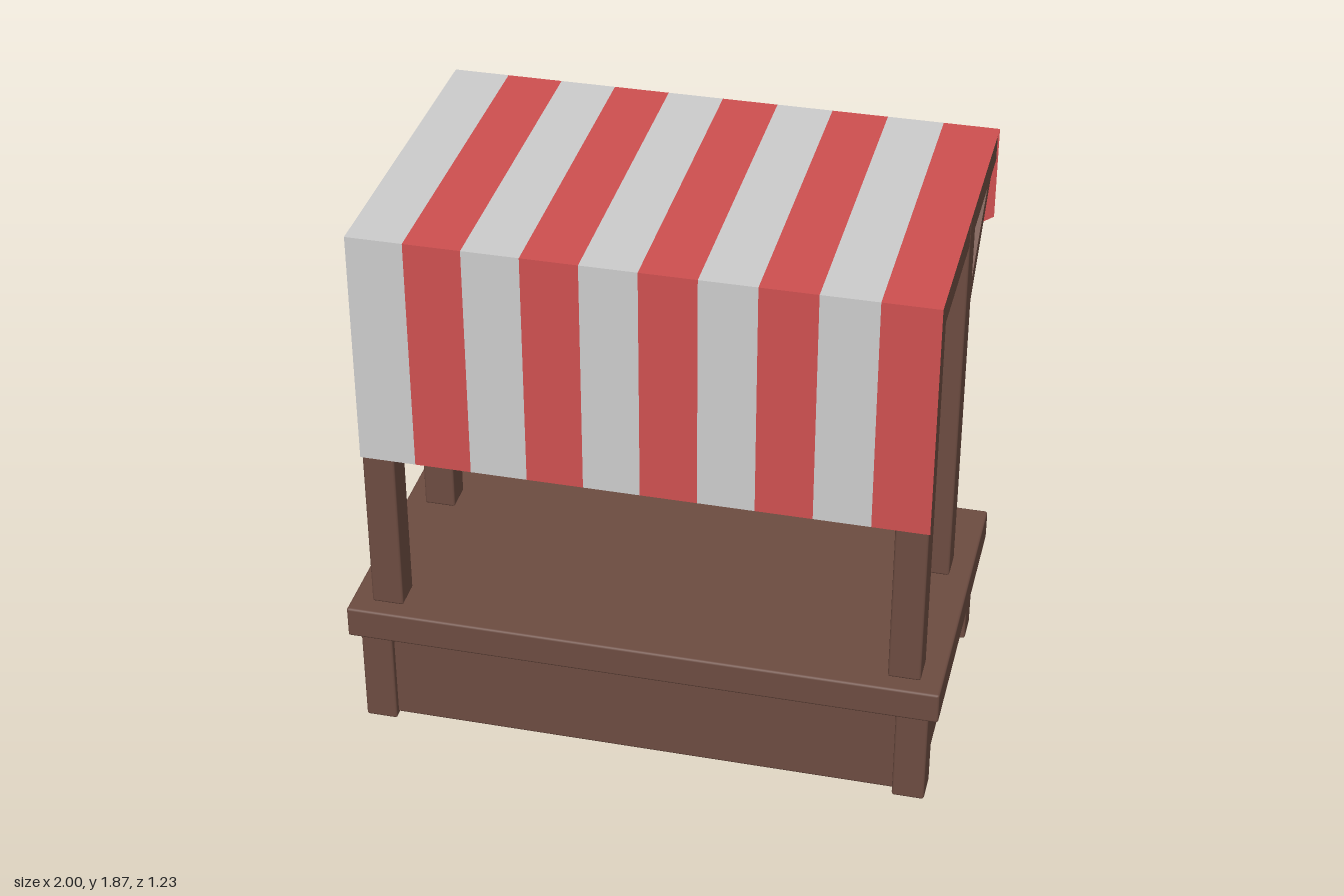
import * as THREE from 'three';
import { RoundedBoxGeometry } from 'three/addons/geometries/RoundedBoxGeometry.js';

const material = (name, color, side = THREE.FrontSide) =>
  Object.assign(new THREE.MeshStandardMaterial({ color, side }), { name });

export function createModel() {
  const group = new THREE.Group();
  group.name = 'marketStall';
  const wood = material('brown wood', 0x6d4c41);
  const red = material('red cloth', 0xcf5050, THREE.DoubleSide);
  const pale = material('pale cloth', 0xcccccc, THREE.DoubleSide);

  const add = (name, geometry, mat) => {
    const mesh = new THREE.Mesh(geometry, mat);
    mesh.name = name;
    group.add(mesh);
    return mesh;
  };

  // Softly bevelled timber given by its extents on each axis
  const timber = (name, [x0, x1], [y0, y1], [z0, z1]) => {
    const geo = new RoundedBoxGeometry(x1 - x0, y1 - y0, z1 - z0, 1, 0.008);
    geo.translate((x0 + x1) / 2, (y0 + y1) / 2, (z0 + z1) / 2);
    add(name, geo, wood);
  };

  // Counter: panelled base, corner posts, overhanging top
  timber('basePanels', [-0.945, 0.945], [0.012, 0.36], [-0.39, 0.56]);
  timber('counterTop', [-1, 1], [0.355, 0.467], [-0.445, 0.612]);

  // Diagonal brace profile: u runs backwards (-z), v is up
  const braceShape = new THREE.Shape([
    [0.14, 1.41], [0.155, 1.41], [0.61, 1.757], [0.535, 1.757], [0.14, 1.485],
  ].map(([u, v]) => new THREE.Vector2(u, v)));

  for (const side of [-1, 1]) {
    const label = side > 0 ? 'left' : 'right';
    const span = (a, b) => (side > 0 ? [a, b] : [-b, -a]);
    timber(label + 'FrontCornerPost', span(0.857, 0.965), [0, 0.357], [0.475, 0.583]);
    timber(label + 'BackCornerPost', span(0.857, 0.965), [0, 0.357], [-0.413, -0.305]);

    // Uprights and the two roof rails
    const x = span(0.82, 0.928);
    timber(label + 'FrontUpright', x, [0.467, 1.86], [0.442, 0.55]);
    timber(label + 'BackUpright', x, [0.467, 1.86], [-0.143, -0.035]);
    timber(label + 'FrontRail', x, [1.757, 1.865], [-0.028, 0.55]);
    timber(label + 'BackRail', x, [1.757, 1.865], [-0.61, -0.035]);

    const brace = new THREE.ExtrudeGeometry(braceShape, { depth: 0.09, bevelEnabled: false });
    brace.translate(0, 0, -0.045);
    brace.rotateY(Math.PI / 2);
    brace.translate(side * 0.874, 0, 0);
    add(label + 'Brace', brace, wood);
  }

  // Cross beams between the uprights, at roof height and lower down
  for (const [place, z] of [['front', [0.442, 0.55]], ['back', [-0.143, -0.035]]]) {
    timber(place + 'TopBeam', [-0.83, 0.83], [1.757, 1.865], z);
    timber(place + 'MiddleBeam', [-0.83, 0.83], [1.42, 1.53], z);
  }

  // Awning: ten folded strips, front drop, roof and toothed back valance
  const count = 10, half = 0.932;
  const edge = (i) => {
    const x = -half + (2 * half * i) / count;
    const drop = i % 2 ? 0.455 : i === 0 || i === count ? 0.33 : 0.31;
    return [[x, 1.052, 0.554], [x, 1.872, 0.554], [x, 1.872, -0.618], [x, 1.872 - drop, -0.618]];
  };
  for (let i = 0; i < count; i++) {
    const a = edge(i), b = edge(i + 1), points = [];
    for (let k = 0; k < 3; k++) {
      points.push(a[k], b[k], b[k + 1], a[k], b[k + 1], a[k + 1]);
    }
    const geo = new THREE.BufferGeometry();
    geo.setAttribute('position', new THREE.Float32BufferAttribute(points.flat(), 3));
    geo.computeVertexNormals();
    add('awningStripe' + (i + 1), geo, i % 2 ? red : pale);
  }
  return group;
}
